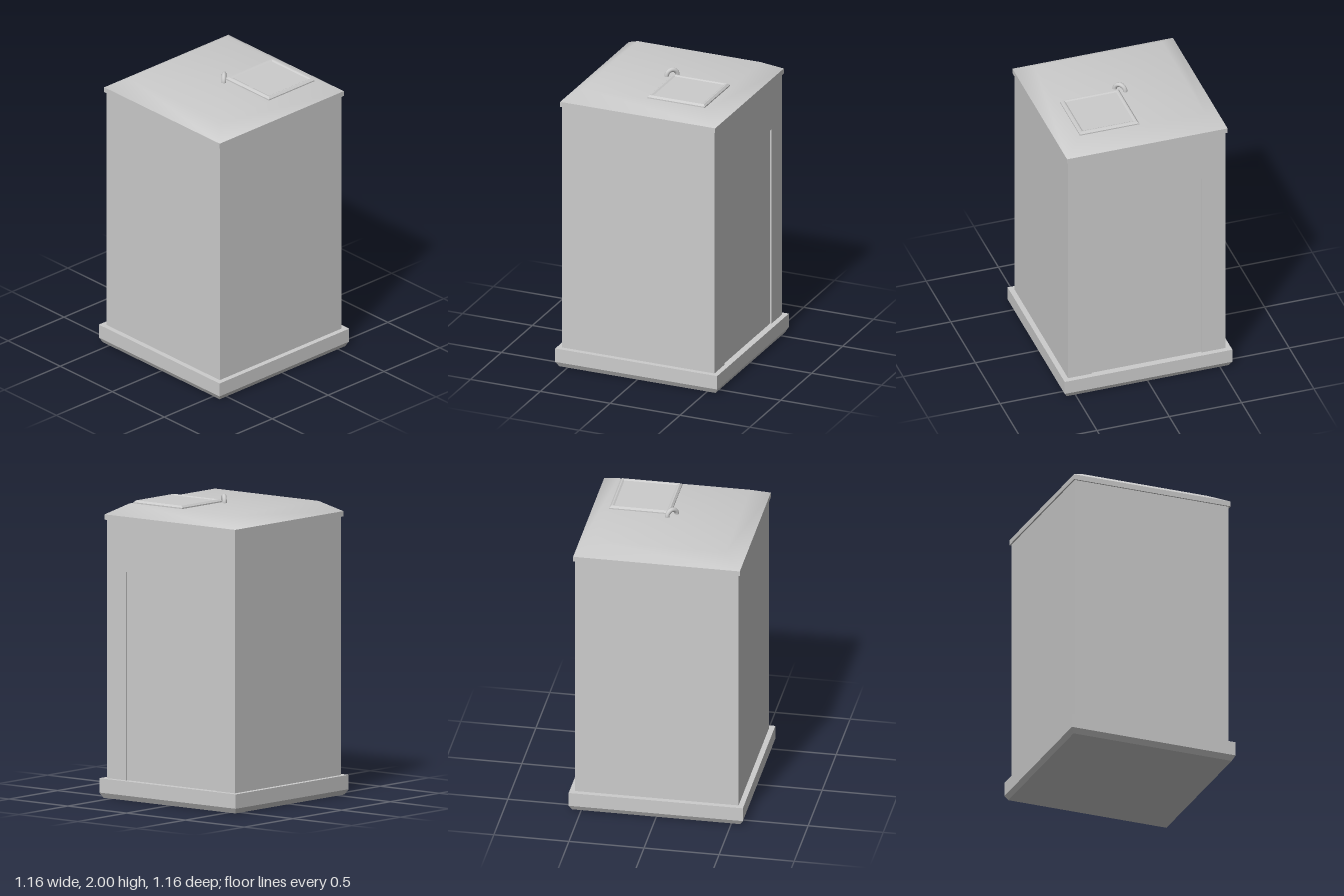
import * as THREE from 'three';
import { mergeVertices } from 'three/addons/utils/BufferGeometryUtils.js';

const grey = new THREE.MeshStandardMaterial({ color: 0xcccccc });

// Square solid from a profile of [half width, height], listed bottom to top
function squareLathe(profile) {
  const points = profile.map(([h, y]) => new THREE.Vector2(h * Math.SQRT2, y));
  return new THREE.LatheGeometry(points, 4, Math.PI / 4);
}

function crisp(geometry) {
  const flat = geometry.toNonIndexed();
  flat.computeVertexNormals();
  return flat;
}

function smooth(geometry) {
  geometry.deleteAttribute('normal');
  geometry.deleteAttribute('uv');
  const welded = mergeVertices(geometry, 1e-4);
  welded.computeVertexNormals();
  return welded;
}

export function createModel() {
  const model = new THREE.Group();
  model.name = 'cabinet';

  const add = (name, geometry) => {
    const mesh = new THREE.Mesh(geometry, grey);
    mesh.name = name;
    model.add(mesh);
    return mesh;
  };

  // Plinth with a chamfered lower edge
  add('plinth', crisp(squareLathe([
    [0, 0], [0.56, 0], [0.58, 0.035], [0.58, 0.13], [0, 0.13],
  ])));

  // Body core; its +x face is the back of the door recess
  const half = 0.545, depth = 0.01, bottom = 0.13, top = 1.84;
  const core = new THREE.BoxGeometry(2 * half - depth, top - bottom, 2 * half);
  core.translate(-depth / 2, (top + bottom) / 2, 0);
  add('body', core);

  // Slab around the recessed door, open at the plinth
  const doorHalf = 0.38, doorTop = 1.51;
  const surround = new THREE.Shape([
    [-half, bottom], [-doorHalf, bottom], [-doorHalf, doorTop], [doorHalf, doorTop],
    [doorHalf, bottom], [half, bottom], [half, top], [-half, top],
  ].map(([x, y]) => new THREE.Vector2(x, y)));
  const slab = new THREE.ExtrudeGeometry(surround, { depth, bevelEnabled: false });
  slab.rotateY(Math.PI / 2).translate(half - depth, 0, 0);
  add('doorSurround', slab);

  // Lid: crisp rim below, softly shaded hipped top above
  add('lidRim', crisp(squareLathe([[0, 1.84], [0.555, 1.84], [0.555, 1.875]])));
  add('lidTop', smooth(squareLathe([[0.555, 1.875], [0.44, 1.945], [0, 1.945]])));

  // Hatch with a raised frame around a slightly sunken panel
  const hatch = add('hatch', crisp(squareLathe([
    [0.205, 0], [0.205, 0.008], [0.193, 0.02], [0.185, 0.02], [0.175, 0.014], [0, 0.014],
  ])));
  hatch.position.set(0.215, 1.945, 0.215);

  // Lifting loop set diagonally at the centre
  const loop = add('liftingLoop', new THREE.TorusGeometry(0.038, 0.015, 16, 32));
  loop.position.y = 1.947;
  loop.rotation.y = Math.PI / 4;

  return model;
}
